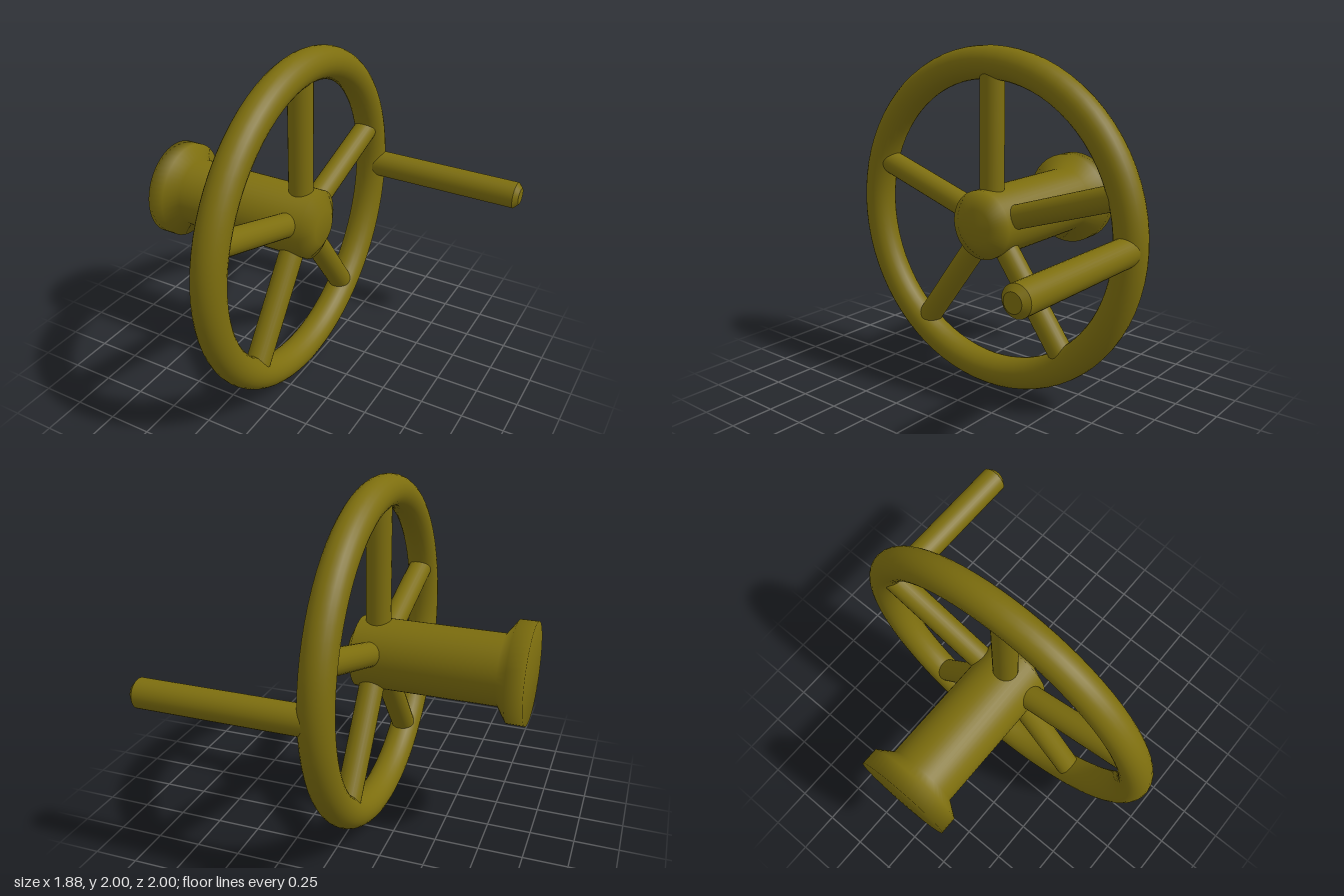
import * as THREE from 'three';

const WHEEL_X = -0.065;
const RIM_R = 0.907;

export function createModel() {
  const group = new THREE.Group();
  const material = new THREE.MeshStandardMaterial({ color: 0x7d6e0e });

  const add = (name, geometry, x, y, z) => {
    const mesh = new THREE.Mesh(geometry, material);
    mesh.name = name;
    mesh.position.set(x, y, z);
    group.add(mesh);
    return mesh;
  };

  // Turned part along x, from [x, radius] pairs running left to right
  const turned = (profile, segments) =>
    new THREE.LatheGeometry(profile.map(([x, r]) => new THREE.Vector2(r, x)), segments)
      .rotateZ(-Math.PI / 2);

  // Rim
  add('rim', new THREE.TorusGeometry(RIM_R, 0.093, 24, 72).rotateY(Math.PI / 2), WHEEL_X, 1, 0);

  // Hub with flared flange at the back and a bevelled nose
  add('hub', turned([
    [-0.94, 0], [-0.94, 0.286], [-0.84, 0.286], [-0.78, 0.202],
    [0.035, 0.202], [0.085, 0.1], [0.085, 0],
  ], 48), 0, 1, 0);

  // Five spokes, the first pointing straight up
  for (let i = 0; i < 5; i++) {
    const geometry = new THREE.CylinderGeometry(0.071, 0.071, RIM_R - 0.1, 24, 1, true);
    geometry.translate(0, (RIM_R + 0.1) / 2, 0);
    const spoke = add('spoke' + (i + 1), geometry, WHEEL_X, 1, 0);
    spoke.rotation.x = (i * Math.PI * 2) / 5;
  }

  // Crank handle with a bevelled tip
  add('handle', turned([
    [WHEEL_X, 0.081], [0.91, 0.081], [0.91, 0.081], [0.938, 0.05], [0.938, 0.05], [0.938, 0],
  ], 32), 0, 1, -RIM_R);

  return group;
}
